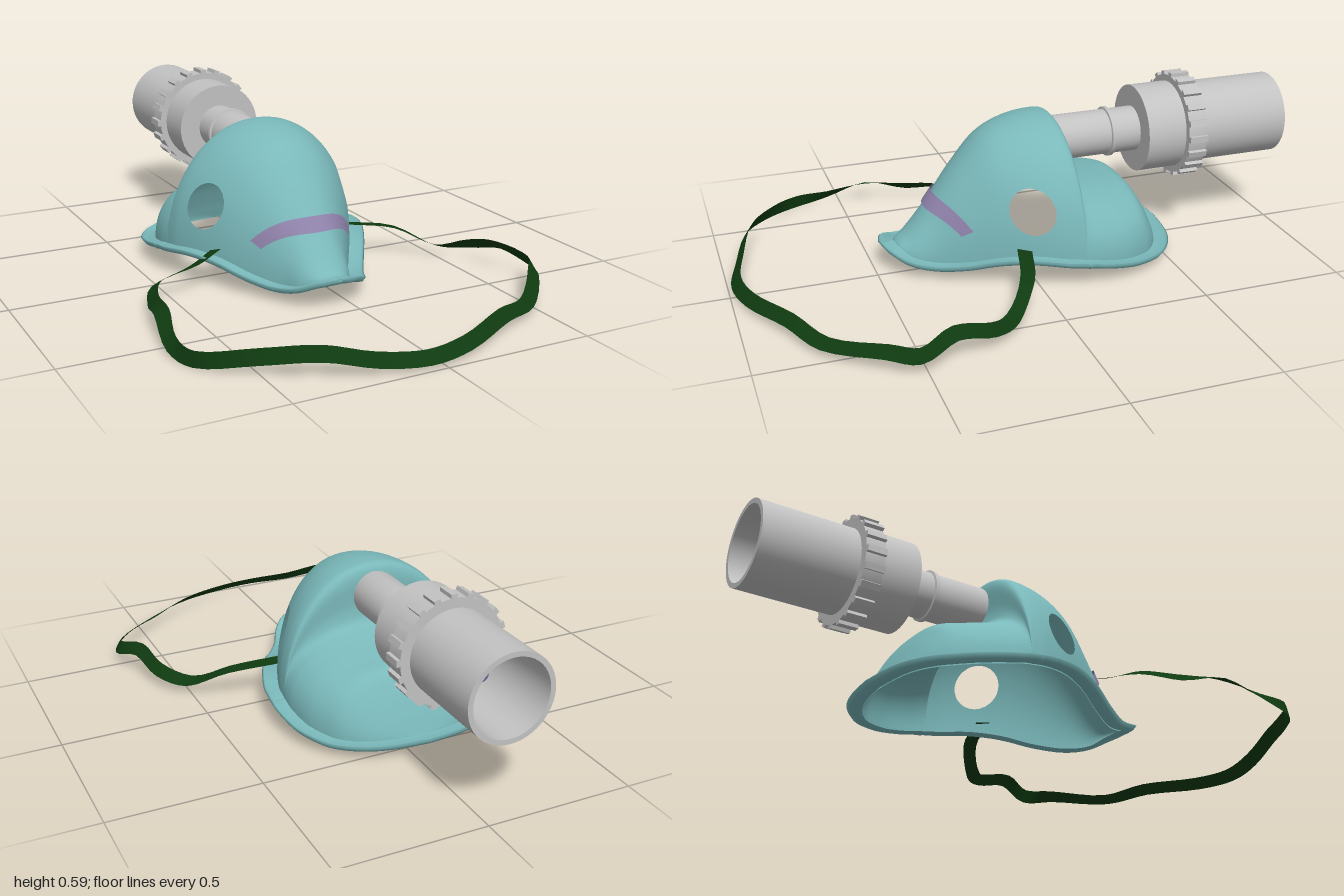
import * as THREE from 'three';
import { toCreasedNormals } from 'three/addons/utils/BufferGeometryUtils.js';

const V = (x, y, z) => new THREE.Vector3(x, y, z);
const CX = -0.055; // the mask and tube share this centre line

// Shell sections from front to back: z, half width, crown height, base height, roundness
const SECTIONS = [
  [0.43, 0, 0.085, 0.085, 2.1], [0.415, 0.05, 0.1, 0.075, 2.1], [0.38, 0.085, 0.13, 0.05, 2.1],
  [0.3, 0.125, 0.225, 0.035, 2.1], [0.2, 0.185, 0.355, 0.05, 2.1], [0.1, 0.245, 0.455, 0.08, 2.1],
  [0, 0.295, 0.495, 0.09, 2.1], [-0.1, 0.33, 0.506, 0.08, 2.1], [-0.14, 0.335, 0.5, 0.075, 2.1],
  [-0.155, 0.336, 0.47, 0.072, 2.15], [-0.16, 0.337, 0.36, 0.071, 2.2], [-0.175, 0.338, 0.315, 0.07, 2.3],
  [-0.22, 0.338, 0.29, 0.06, 2.4], [-0.32, 0.32, 0.26, 0.042, 2.5], [-0.4, 0.28, 0.24, 0.032, 2.5],
  [-0.44, 0.245, 0.19, 0.03, 2.4], [-0.48, 0.18, 0.11, 0.03, 2.3], [-0.5, 0.11, 0.06, 0.03, 2.2],
  [-0.512, 0, 0.03, 0.03, 2.1],
];
const widthCurve = new THREE.CatmullRomCurve3(SECTIONS.map(s => V(s[0], s[1], s[2])));
const baseCurve = new THREE.CatmullRomCurve3(SECTIONS.map(s => V(s[0], s[3], s[4])));

function sectionAt(t) {
  const a = widthCurve.getPoint(t), b = baseCurve.getPoint(t);
  return { z: a.x, w: Math.max(a.y, 0), b: b.y, h: Math.max(a.z - b.y, 0), q: b.z };
}
function sectionAtZ(z) {
  let lo = 0, hi = 1;
  for (let i = 0; i < 30; i++) {
    const mid = (lo + hi) / 2;
    if (widthCurve.getPoint(mid).x > z) lo = mid; else hi = mid;
  }
  return sectionAt(lo);
}
function onShell(s, a) {
  const c = Math.cos(a), k = 2 / s.q;
  return V(Math.sign(c) * s.w * Math.abs(c) ** k, s.b + s.h * Math.max(Math.sin(a), 0) ** k, s.z);
}

// Surface through rows of points; cells touching only flagged points are left open
function grid(rows, isOpen = () => false) {
  const n = rows[0].length, index = [], flat = rows.flat();
  const tri = (...t) => { if (!t.every(i => isOpen(flat[i]))) index.push(...t); };
  for (let i = 0; i < rows.length - 1; i++) {
    for (let j = 0; j < n - 1; j++) {
      const a = i * n + j, b = a + n;
      tri(a, b, a + 1);
      tri(b, b + 1, a + 1);
    }
  }
  const geo = new THREE.BufferGeometry().setFromPoints(flat);
  geo.setIndex(index);
  geo.computeVertexNormals();
  return geo;
}

// Domed shell with an oval vent in each cheek
function shellGeometry(count) {
  const vent = new Set(), hz = 0.01, hy = 0.253, rz = 0.072, ry = 0.077, rows = [];
  for (let i = 0; i <= count; i++) {
    const s = sectionAt(i / count), row = [];
    for (let j = 0; j <= 72; j++) {
      const p = onShell(s, Math.PI * j / 72);
      const d = Math.hypot((p.z - hz) / rz, (p.y - hy) / ry);
      if (d < 1) { // slide the point out to the vent's edge
        p.z = hz + (p.z - hz) / d;
        p.y = hy + (p.y - hy) / d;
        const e = sectionAtZ(p.z);
        p.x = Math.sign(p.x) * e.w * (1 - ((p.y - e.b) / e.h) ** e.q) ** (1 / e.q);
        vent.add(p);
      }
      row.push(p);
    }
    rows.push(row);
  }
  return grid(rows, p => vent.has(p));
}

// Flared rim following the open base
function rimGeometry(count) {
  const side = [];
  for (let i = 0; i <= count; i++) {
    const s = sectionAt(i / count);
    side.push(V(s.w, s.b, s.z));
  }
  const loop = [...side, ...side.slice(1, -1).reverse().map(p => V(-p.x, p.y, p.z))];
  const n = loop.length;
  const profile = [[0, 0.004], [0.02, -0.004], [0.042, 0], [0.052, 0.014], [0.046, 0.018], [0.036, 0.008], [0, 0.012]];
  const rows = loop.map((p, i) => {
    const t = loop[(i + 2) % n].clone().sub(loop[(i + n - 2) % n]).setY(0).normalize();
    return profile.map(([o, y]) => V(p.x - t.z * o, p.y + y, p.z + t.x * o));
  });
  rows.push(rows[0].map(p => p.clone()));
  return grid(rows);
}

// Bent strip lying on the bridge of the nose
function clipGeometry() {
  const rows = [];
  for (let i = 0; i <= 24; i++) {
    const s = i / 12 - 1, a = Math.PI / 2 - s * 1.2;
    rows.push([0.018, -0.018].map(dz => onShell(sectionAtZ(0.298 - 0.09 * s * s + dz), a)
      .add(V(Math.cos(a), Math.sin(a), 0.6).multiplyScalar(0.007))));
  }
  return grid(rows);
}

// Twisting ribbon: x, y, z and roll at each point
const STRAP = [
  [0.21, 0.125, 0.04, 0.1], [0.38, 0.1, 0.09, 0.1], [0.5, 0.04, 0.18, 0.4], [0.58, 0.06, 0.27, 0.9],
  [0.61, 0.09, 0.4, 0.8], [0.655, 0.06, 0.52, 1.1], [0.6, 0.06, 0.61, 0.7], [0.45, 0.035, 0.77, 0.5],
  [0.3, 0.05, 0.85, 0.7], [0.1, 0.035, 0.945, 0.8], [-0.05, 0.03, 0.972, 0.8], [-0.2, 0.04, 0.94, 0.9],
  [-0.35, 0.07, 0.89, 1], [-0.5, 0.055, 0.8, 1.2], [-0.645, 0.025, 0.67, 1.4], [-0.665, 0.03, 0.55, 0.9],
  [-0.635, 0.07, 0.4, 0.3], [-0.605, 0.05, 0.25, 0.8], [-0.55, 0.06, 0.14, 0.6], [-0.4, 0.085, 0.1, 0.3],
  [-0.31, 0.12, 0.075, 0.2],
];
function strapGeometry() {
  const path = new THREE.CatmullRomCurve3(STRAP.map(p => V(p[0], p[1], p[2])));
  const roll = new THREE.CatmullRomCurve3(STRAP.map((p, i) => V(i, p[3], 0)));
  const rows = [];
  for (let i = 0; i <= 80; i++) {
    const p = path.getPoint(i / 80), t = path.getTangent(i / 80), r = roll.getPoint(i / 80).y;
    const w = V(-t.z * Math.cos(r), Math.sin(r), t.x * Math.cos(r)).multiplyScalar(0.025);
    rows.push([p.clone().add(w), p.clone().sub(w)]);
  }
  return grid(rows);
}

// Turned part whose axis runs backwards; points are radius, distance along -z
function turned(points, sides = 48) {
  const geo = new THREE.LatheGeometry(points.map(([r, d]) => new THREE.Vector2(r, d)), sides);
  return toCreasedNormals(geo.rotateX(-Math.PI / 2), 0.6);
}

export function createModel() {
  const mat = (name, color, side = THREE.FrontSide) => {
    const m = new THREE.MeshStandardMaterial({ color, side });
    m.name = name;
    return m;
  };
  const teal = mat('teal rubber', 0x7ab8ba, THREE.DoubleSide);
  const grey = mat('grey plastic', 0xc2c2c2);
  const green = mat('dark green elastic', 0x0f3a10, THREE.DoubleSide);
  const purple = mat('purple metal', 0x8f82aa, THREE.DoubleSide);
  const blue = mat('blue violet nozzle', 0x66648f);

  const model = new THREE.Group();
  model.name = 'breathingMask';
  const add = (name, geo, material, parent = model) => {
    const mesh = new THREE.Mesh(geo, material);
    mesh.name = name;
    parent.add(mesh);
    return mesh;
  };

  // Face piece
  const mask = new THREE.Group();
  mask.name = 'facePiece';
  mask.position.x = CX;
  model.add(mask);
  add('shell', shellGeometry(126), teal, mask);
  add('rim', rimGeometry(72), teal, mask);
  add('noseClip', clipGeometry(), purple, mask);

  // Tube, hollow at the back end
  const tube = new THREE.Group();
  tube.name = 'tubeConnector';
  tube.position.set(CX, 0.402, 0);
  model.add(tube);
  add('tubeBody', turned([[0, 0.14], [0.074, 0.14], [0.08, 0.165], [0.08, 0.35], [0.088, 0.352], [0.088, 0.365],
    [0.08, 0.367], [0.08, 0.46], [0.155, 0.46], [0.155, 0.61], [0.145, 0.61], [0.145, 1], [0.128, 1],
    [0.12, 0.72], [0, 0.72]]), grey, tube);
  add('gripRing', turned([[0.14, 0.602], [0.178, 0.602], [0.178, 0.67], [0.14, 0.67]]), grey, tube);
  for (let i = 0; i < 20; i++) {
    const a = (i / 20) * Math.PI * 2;
    const rib = add('gripRib', new THREE.BoxGeometry(0.02, 0.022, 0.068), grey, tube);
    rib.position.set(Math.cos(a) * 0.18, Math.sin(a) * 0.18, -0.636);
    rib.rotation.z = a;
  }
  add('nozzle', turned([[0.03, 0.71], [0.03, 0.78], [0.022, 0.78], [0.022, 0.84], [0.012, 0.84], [0.012, 0.76],
    [0, 0.76]], 20), blue, tube);

  // Head strap
  add('strap', strapGeometry(), green);
  return model;
}
